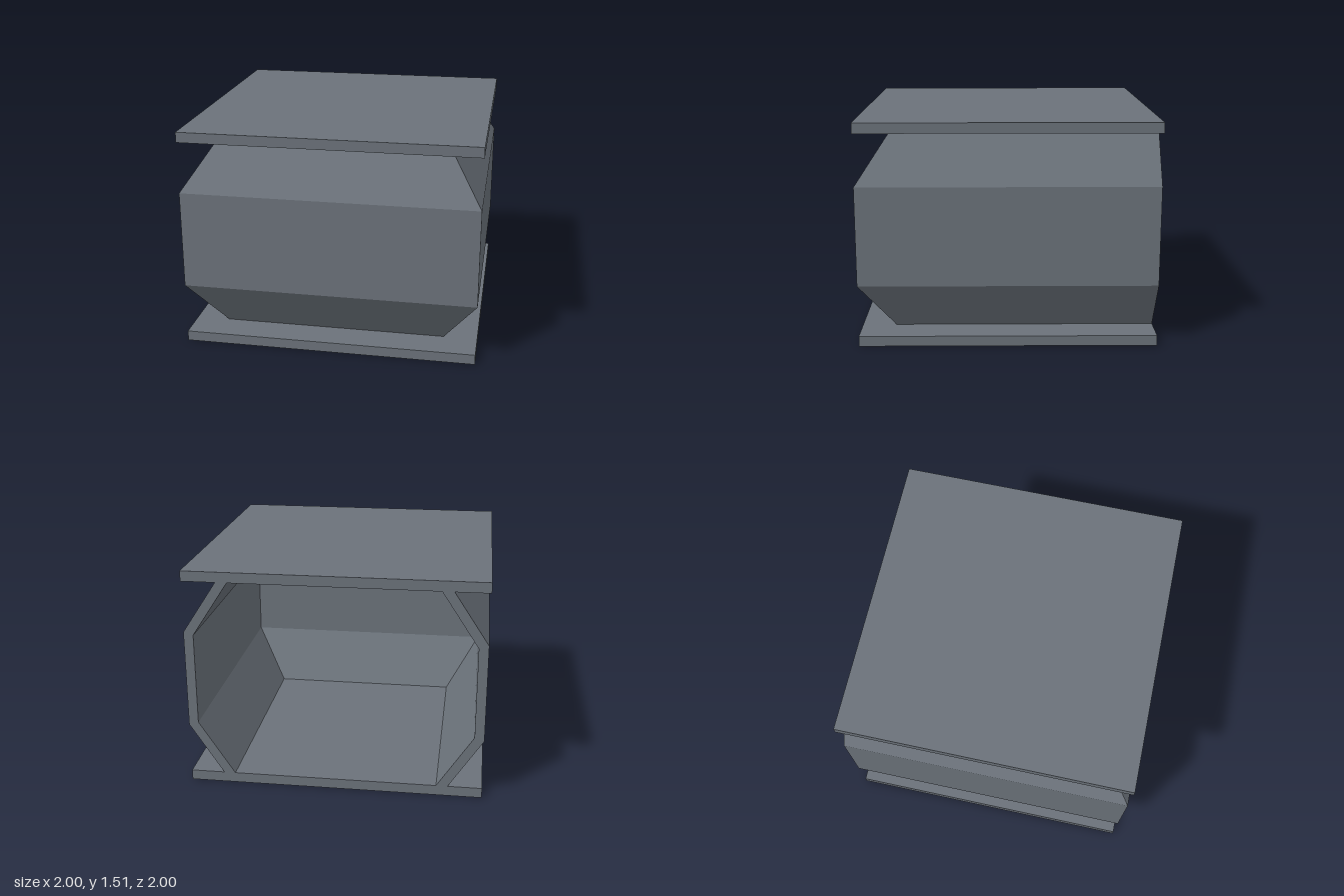
import * as THREE from 'three';

const SIZE = 2, PLATE = 0.07, HEIGHT = 1.51;

// Wall cross-section as [distance from centre, y]: outer side going up, inner side coming down
const OUTER = [[0.77, 0.07], [1, 0.42], [1, 1.09], [0.77, 1.44]];
const INNER = [[0.692, 0.07], [0.935, 0.44], [0.935, 1.07], [0.692, 1.44]];

// Sweeps the cross-section around three sides, mitred at the front corners, open at the back
function wallGeometry() {
  const ring = [...OUTER, ...[...INNER].reverse()];
  const n = ring.length;
  const point = ([d, y], station) =>
    [[-d, y, -1], [-d, y, d], [d, y, d], [d, y, -1]][station];

  const positions = [];
  const quad = (a, b, c, d) => positions.push(...a, ...b, ...c, ...a, ...c, ...d);

  for (let s = 0; s < 3; s++) {
    for (let i = 0; i < n; i++) {
      const p = ring[i], q = ring[(i + 1) % n];
      quad(point(p, s), point(p, s + 1), point(q, s + 1), point(q, s));
    }
  }
  // Rims of the two side walls at the open back
  for (let i = 0; i < 3; i++) {
    const rim = [OUTER[i], OUTER[i + 1], INNER[i + 1], INNER[i]];
    quad(...rim.map((p) => point(p, 0)));
    quad(...rim.map((p) => point(p, 3)).reverse());
  }

  const geometry = new THREE.BufferGeometry();
  geometry.setAttribute('position', new THREE.Float32BufferAttribute(positions, 3));
  geometry.computeVertexNormals();
  return geometry;
}

export function createModel() {
  const group = new THREE.Group();
  group.name = 'openBackedRoom';

  const greyMetal = new THREE.MeshStandardMaterial({ color: 0x6b727a });
  greyMetal.name = 'greyMetal';

  // Floor and roof plates
  for (const [name, y] of [['floorPlate', PLATE / 2], ['roofPlate', HEIGHT - PLATE / 2]]) {
    const plate = new THREE.Mesh(new THREE.BoxGeometry(SIZE, PLATE, SIZE), greyMetal);
    plate.name = name;
    plate.position.y = y;
    group.add(plate);
  }

  // Bevelled walls
  const walls = new THREE.Mesh(wallGeometry(), greyMetal);
  walls.name = 'bevelledWalls';
  group.add(walls);

  return group;
}
